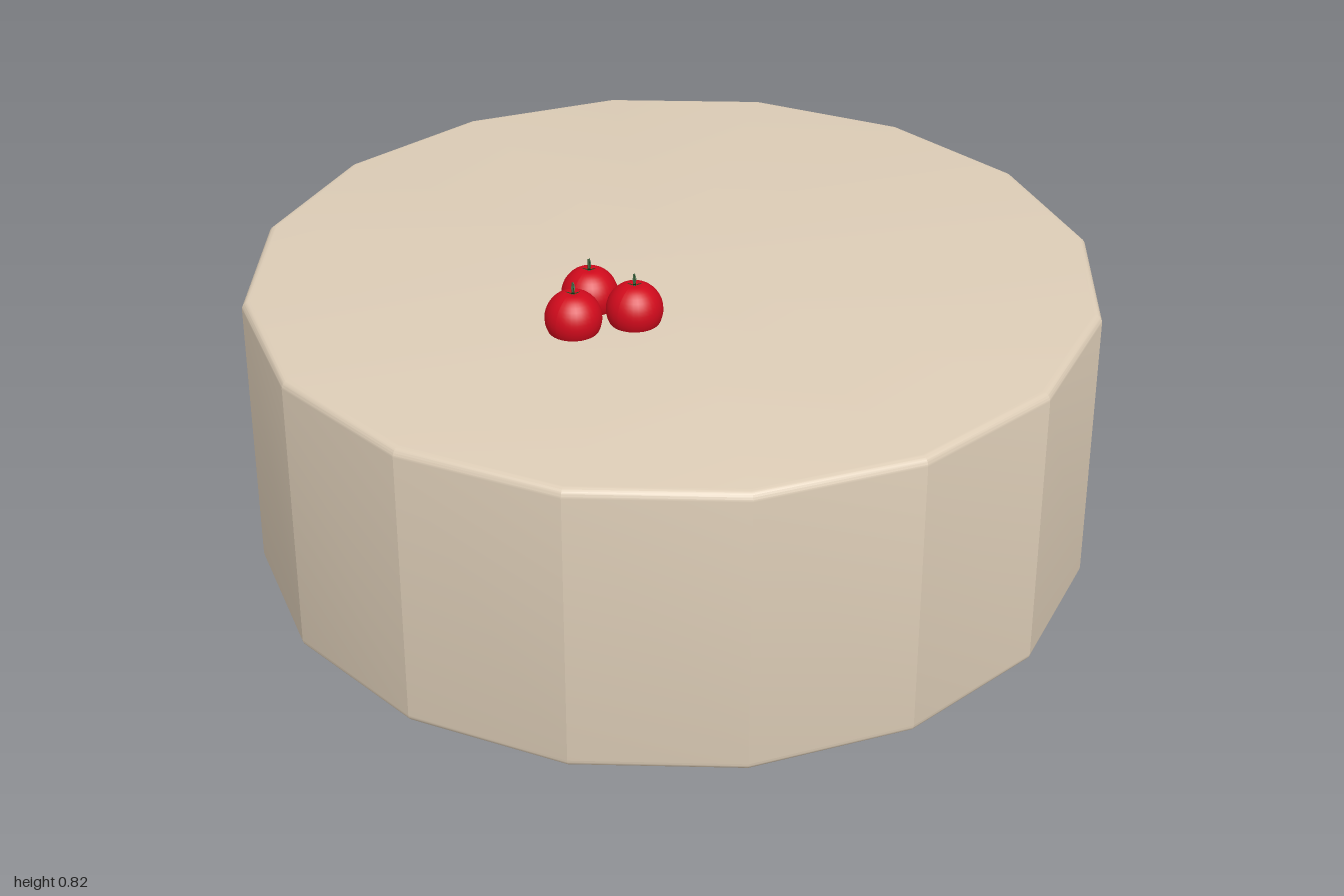
import * as THREE from 'three';
import { toCreasedNormals } from 'three/addons/utils/BufferGeometryUtils.js';

const mat = (color, extra = {}) => new THREE.MeshStandardMaterial({ color, ...extra });

function add(parent, name, geometry, material) {
  const mesh = new THREE.Mesh(geometry, material);
  mesh.name = name;
  parent.add(mesh);
  return mesh;
}

export function createModel() {
  const group = new THREE.Group();
  const cream = mat(0xdcccb6);
  const red = mat(0xd00a1c);
  const green = mat(0x1c4a1c, { side: THREE.DoubleSide });

  // Sixteen-sided cake with a small rounded rim at top and bottom
  const R = 1, y0 = 0.01, y1 = 0.715, bevel = 0.02, steps = 6;
  const profile = [new THREE.Vector2(0, y0)];
  for (const [cy, start] of [[y0 + bevel, -Math.PI / 2], [y1 - bevel, 0]]) {
    for (let i = 0; i <= steps; i++) {
      const a = start + (i / steps) * Math.PI / 2;
      profile.push(new THREE.Vector2(R - bevel + bevel * Math.cos(a), cy + bevel * Math.sin(a)));
    }
  }
  profile.push(new THREE.Vector2(0, y1));
  const cakeGeometry = new THREE.LatheGeometry(profile, 16);
  cakeGeometry.translate(0, -y0, 0);
  add(group, 'cake', toCreasedNormals(cakeGeometry, 0.3), cream);

  // Berry body: a sphere with a slight dimple on top
  const berryGeometry = new THREE.SphereGeometry(0.065, 32, 20);
  const p = berryGeometry.attributes.position;
  for (let i = 0; i < p.count; i++) {
    const r = Math.hypot(p.getX(i), p.getZ(i));
    if (p.getY(i) > 0) p.setY(i, p.getY(i) - 0.006 * Math.exp(-((r / 0.015) ** 2)));
  }
  berryGeometry.computeVertexNormals();

  // Pointed leaf lying along +x, rising and folding over at its tip
  const leafShape = new THREE.Shape();
  leafShape.moveTo(0, 0);
  leafShape.quadraticCurveTo(0.014, 0.008, 0.03, 0);
  leafShape.quadraticCurveTo(0.014, -0.008, 0, 0);
  const leafGeometry = new THREE.ShapeGeometry(leafShape, 5);
  leafGeometry.rotateX(-Math.PI / 2);

  // Three berries huddled together, pressed a little into the cake
  for (const [x, z] of [[-0.368, -0.01], [-0.255, -0.05], [-0.255, 0.077]]) {
    const berry = new THREE.Group();
    berry.name = 'berry';
    berry.position.set(x, 0.735, z);
    add(berry, 'berryBody', berryGeometry, red);

    // Leaves: two long ones on a diagonal, two short ones across it
    for (let i = 0; i < 4; i++) {
      const leaf = add(berry, 'leaf', leafGeometry, green);
      leaf.position.y = 0.059;
      leaf.rotation.set(0, Math.PI / 5 + i * Math.PI / 2, i % 2 ? 0.35 : 0.6);
      leaf.scale.setScalar(i % 2 ? 0.6 : 1.05);
    }
    const stem = add(berry, 'stem', new THREE.CylinderGeometry(0.002, 0.004, 0.028, 6), green);
    stem.position.set(0.003, 0.07, -0.003);
    stem.rotation.set(-0.3, 0, -0.3);
    group.add(berry);
  }
  return group;
}
